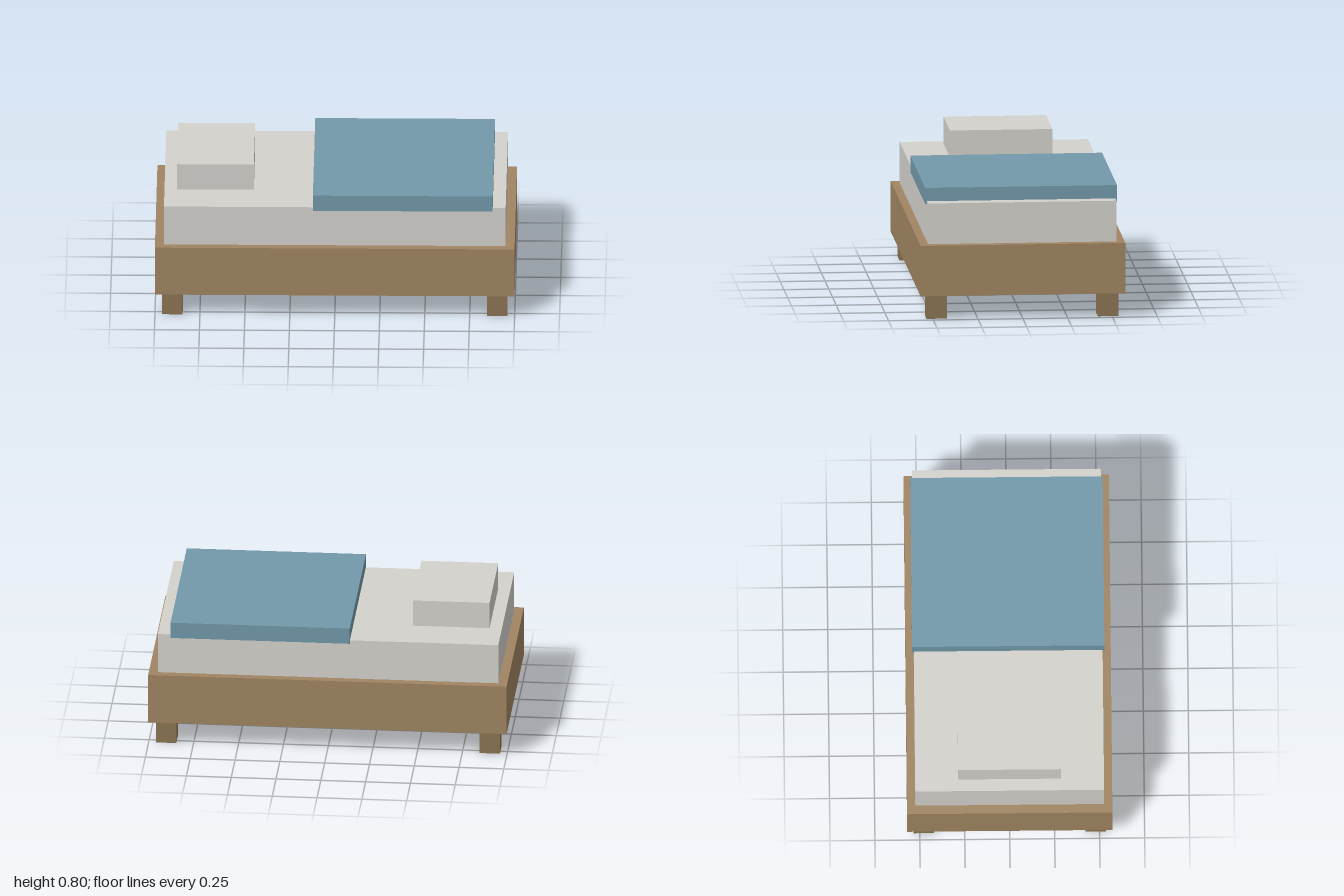
import * as THREE from 'three';

const material = (color) => new THREE.MeshStandardMaterial({ color });

// Box given by its extents along each axis
function block(name, [x0, x1], [y0, y1], [z0, z1], mat) {
  const mesh = new THREE.Mesh(new THREE.BoxGeometry(x1 - x0, y1 - y0, z1 - z0), mat);
  mesh.position.set((x0 + x1) / 2, (y0 + y1) / 2, (z0 + z1) / 2);
  mesh.name = name;
  return mesh;
}

export function createModel() {
  const bed = new THREE.Group();
  bed.name = 'bed';
  const wood = material(0xa08562);
  const darkWood = material(0x8b7453);
  const linen = material(0xd4d2cc);
  const blue = material(0x7299a9);

  // Solid base, mattress and bedding
  bed.add(
    block('bedFrame', [-1, 1], [0.135, 0.42], [-0.571, 0.571], wood),
    block('mattress', [-0.95, 0.95], [0.42, 0.65], [-0.525, 0.525], linen),
    block('pillow', [-0.881, -0.453], [0.65, 0.802], [-0.286, 0.286], linen),
    block('blanket', [-0.122, 0.878], [0.633, 0.725], [-0.535, 0.535], blue)
  );

  // Four square legs, inset from the corners
  const legSize = 0.114;
  for (const sx of [-1, 1]) {
    for (const sz of [-1, 1]) {
      const leg = new THREE.Mesh(new THREE.BoxGeometry(legSize, 0.135, legSize), darkWood);
      leg.position.set(sx * 0.903, 0.0675, sz * 0.478);
      leg.name = `${sz > 0 ? 'front' : 'back'}${sx > 0 ? 'Left' : 'Right'}Leg`;
      bed.add(leg);
    }
  }
  return bed;
}
